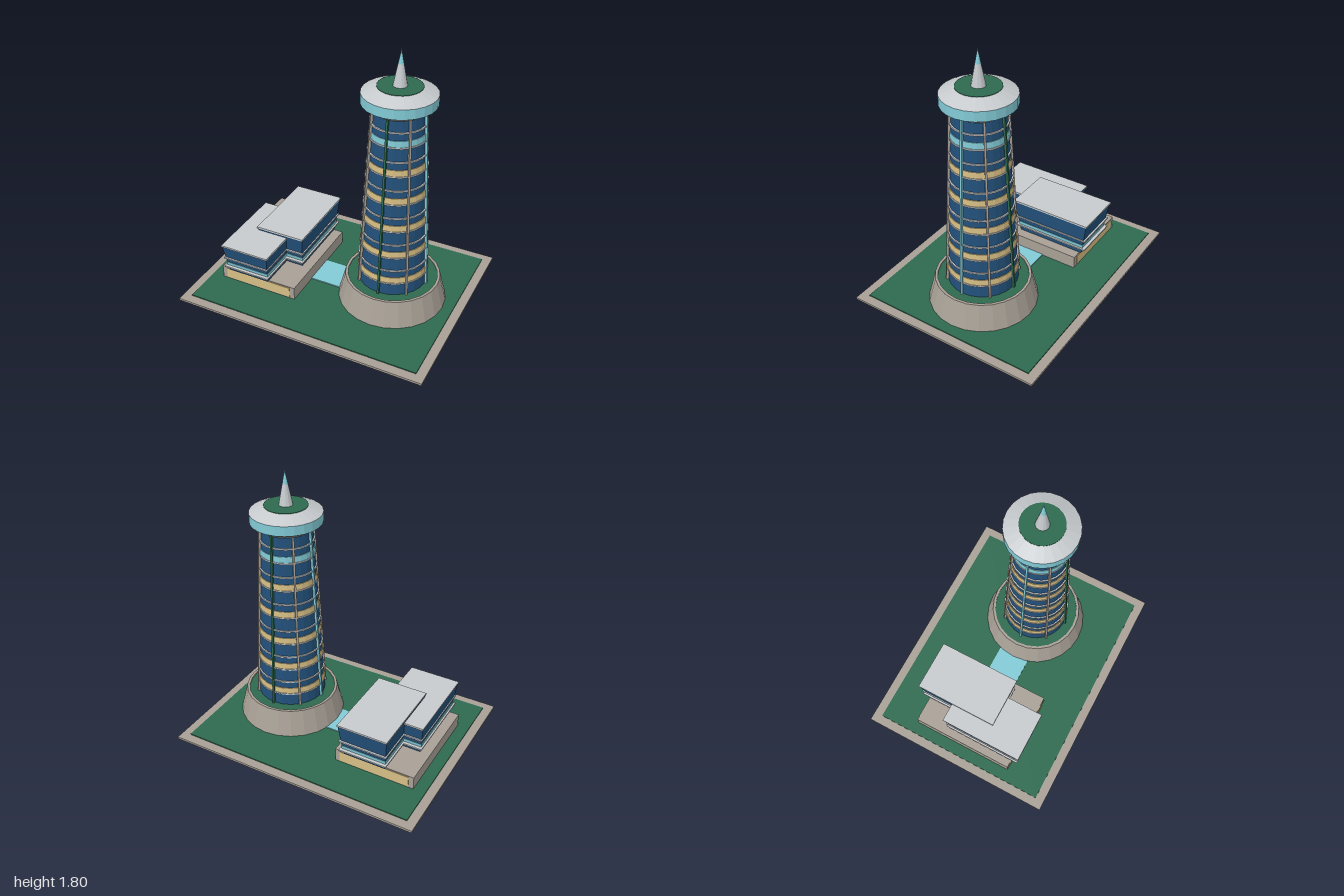
import * as THREE from 'three';

const mat = (name, color, extra = {}) =>
  Object.assign(new THREE.MeshStandardMaterial({ color, flatShading: true, ...extra }), { name });

export function createModel() {
  const stone = mat('stone', 0xa8a096, { side: THREE.DoubleSide });
  const lawn = mat('lawn green', 0x2d6a4f);
  const navy = mat('navy glass', 0x22507a);
  const aqua = mat('aqua glass', 0x82cad6);
  const sand = mat('sand', 0xd6be84);
  const pale = mat('pale metal', 0xc6cacd);

  const SIDES = 24;
  const model = new THREE.Group();
  model.name = 'towerComplex';

  const add = (parent, name, geo, material, x = 0, y = 0, z = 0) => {
    const mesh = new THREE.Mesh(geo, material);
    mesh.name = name;
    mesh.position.set(x, y, z);
    parent.add(mesh);
    return mesh;
  };
  // Box given by its bottom and top heights
  const slab = (parent, name, material, w, d, y0, y1, x = 0, z = 0) =>
    add(parent, name, new THREE.BoxGeometry(w, y1 - y0, d), material, x, (y0 + y1) / 2, z);
  // Round tapered part given by its bottom and top heights
  const drum = (parent, name, material, r0, r1, y0, y1, sides = SIDES) =>
    add(parent, name, new THREE.CylinderGeometry(r1, r0, y1 - y0, sides), material, 0, (y0 + y1) / 2, 0);
  const lathe = (parent, name, material, pts) =>
    add(parent, name, new THREE.LatheGeometry(pts.map(p => new THREE.Vector2(...p)), SIDES), material);

  // The whole site is turned on the ground
  const site = new THREE.Group();
  site.name = 'site';
  site.rotation.y = -THREE.MathUtils.degToRad(12);
  model.add(site);

  slab(site, 'plinth', stone, 1.747, 1.371, 0, 0.015);
  slab(site, 'lawn', lawn, 1.626, 1.247, 0.015, 0.022);
  slab(site, 'walkway', aqua, 0.23, 0.225, 0.02, 0.028, -0.06, 0);

  // Tower
  const tower = new THREE.Group();
  tower.name = 'tower';
  tower.position.x = 0.383;
  site.add(tower);

  lathe(tower, 'towerBase', stone, [[0.36, 0.02], [0.315, 0.2], [0.297, 0.2], [0.297, 0.185]]);
  drum(tower, 'terraceGarden', lawn, 0.298, 0.298, 0.18, 0.193);

  const Y0 = 0.185, Y1 = 1.425, R0 = 0.23, R1 = 0.166;
  const radiusAt = y => R0 + (R1 - R0) * (y - Y0) / (Y1 - Y0);
  drum(tower, 'towerShaft', navy, R0, R1, Y0, Y1);

  // Floor edges, with a coloured band on every second floor
  for (let k = 0; k < 12; k++) {
    const y = 0.281 + 0.0965 * k;
    drum(tower, 'floorEdge', pale, radiusAt(y) + 0.009, radiusAt(y) + 0.009, y - 0.005, y + 0.005);
    if (k % 2 === 0) {
      const a = y + 0.005, b = y + 0.046;
      drum(tower, 'floorBand', k === 10 ? aqua : sand, radiusAt(a) + 0.005, radiusAt(b) + 0.005, a, b);
    }
  }

  // Leaning vertical fins
  const tilt = Math.atan((R0 - R1) / (Y1 - Y0));
  const finColours = [lawn, stone, aqua, stone];
  for (let i = 0; i < 8; i++) {
    const pivot = new THREE.Group();
    pivot.name = 'finMount';
    pivot.rotation.y = i * Math.PI / 4;
    tower.add(pivot);
    const fin = add(pivot, 'fin', new THREE.BoxGeometry(0.013, Y1 - Y0, 0.022), finColours[i % 4],
      0, (Y0 + Y1) / 2, (R0 + R1) / 2 + 0.004);
    fin.rotation.x = -tilt;
  }

  // Crown and spire
  drum(tower, 'crownFlare', stone, 0.166, 0.232, 1.417, 1.46);
  drum(tower, 'crownWindows', aqua, 0.234, 0.234, 1.46, 1.525);
  drum(tower, 'crownRoof', pale, 0.234, 0.14, 1.525, 1.565);
  drum(tower, 'roofGarden', lawn, 0.14, 0.14, 1.562, 1.568);
  drum(tower, 'spire', pale, 0.045, 0.018, 1.566, 1.705, 12);
  drum(tower, 'spireTip', aqua, 0.018, 0, 1.705, 1.8, 12);

  // Low building: podium with panels on front and back
  const annex = new THREE.Group();
  annex.name = 'annex';
  site.add(annex);
  slab(annex, 'podium', stone, 0.56, 0.722, 0.02, 0.112, -0.452, -0.004);
  for (const s of [-1, 1])
    slab(annex, 'podiumPanel', sand, 0.49, 0.006, 0.03, 0.104, -0.452, -0.004 + s * 0.362);

  // Block that widens towards its roof, with ledges and a window band
  const block = (name, x, z, top) => {
    const W = 0.35, D = 0.58, y0 = 0.112, h = top - 0.012 - y0;
    const g = new THREE.Group();
    g.name = name;
    g.position.set(x, 0, z);
    annex.add(g);
    const scaleAt = y => 0.85 + 0.13 * (y - y0) / h;
    const flared = (part, material, a, b, grow) => {
      const geo = new THREE.BoxGeometry(1, b - a, 1);
      const p = geo.attributes.position;
      for (let i = 0; i < p.count; i++) {
        const s = scaleAt(p.getY(i) > 0 ? b : a);
        p.setX(i, p.getX(i) * (W * s + grow));
        p.setZ(i, p.getZ(i) * (D * s + grow));
      }
      geo.computeVertexNormals();
      add(g, part, geo, material, 0, (a + b) / 2, 0);
    };
    flared('blockWalls', navy, y0, y0 + h, 0);
    flared('windowBand', aqua, 0.162, 0.188, 0.006);
    for (const y of [0.156, 0.228])
      slab(g, 'ledge', pale, W * 0.96, D * 0.96, y - 0.005, y + 0.005);
    slab(g, 'blockRoof', pale, W, D, top - 0.012, top);
  };
  block('backBlock', -0.39, -0.133, 0.364);
  block('frontBlock', -0.515, 0.126, 0.336);

  return model;
}
